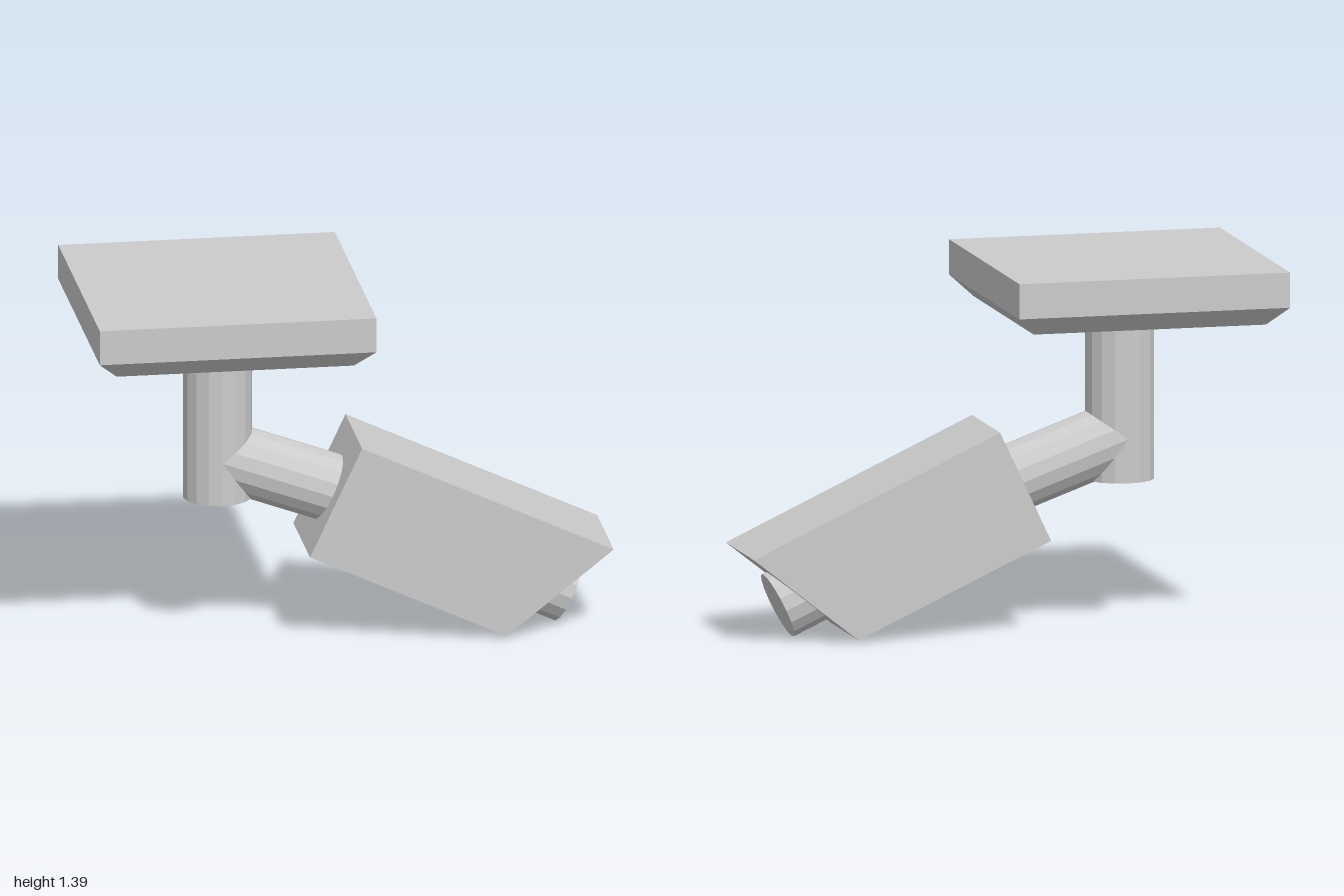
import * as THREE from 'three';

const material = new THREE.MeshStandardMaterial({ color: 0xcccccc, flatShading: true });

function addMesh(group, name, geometry) {
  const mesh = new THREE.Mesh(geometry, material);
  mesh.name = name;
  group.add(mesh);
  return mesh;
}

// Faceted rod between two points in the z = 0 plane
function addRod(group, name, [x1, y1], [x2, y2], radius) {
  const a = new THREE.Vector3(x1, y1, 0);
  const b = new THREE.Vector3(x2, y2, 0);
  const dir = b.clone().sub(a);
  const rod = addMesh(group, name, new THREE.CylinderGeometry(radius, radius, dir.length(), 16));
  rod.position.copy(a).add(b).multiplyScalar(0.5);
  rod.quaternion.setFromUnitVectors(new THREE.Vector3(0, 1, 0), dir.normalize());
}

export function createModel() {
  const group = new THREE.Group();
  group.name = 'securityCamera';
  const postX = -0.475;

  // Square ceiling plate with a chamfered underside (half width, height)
  const profile = [[0, 1.19], [0.45, 1.19], [0.525, 1.263], [0.525, 1.397], [0, 1.397]]
    .map(([w, y]) => new THREE.Vector2(w * Math.SQRT2, y));
  const plate = addMesh(group, 'ceilingPlate', new THREE.LatheGeometry(profile, 4, Math.PI / 4));
  plate.position.x = postX;

  // Hanging post and the tilted arm that meets it
  addRod(group, 'post', [postX, 0.552], [postX, 1.2], 0.131);
  addRod(group, 'arm', [postX, 0.72], [0.09, 0.515], 0.131);

  // Camera housing with a slanted front under the hood
  const side = new THREE.Shape([[0.043, 0.78], [-0.155, 0.36], [0.592, 0.013], [0.998, 0.335]]
    .map(([x, y]) => new THREE.Vector2(x, y)));
  const housing = new THREE.ExtrudeGeometry(side, { depth: 0.42, bevelEnabled: false });
  housing.translate(0, 0, -0.21);
  addMesh(group, 'housing', housing);

  // Lens barrel, parallel to the housing
  addRod(group, 'lens', [0.58, 0.249], [0.851, 0.123], 0.132);

  return group;
}
